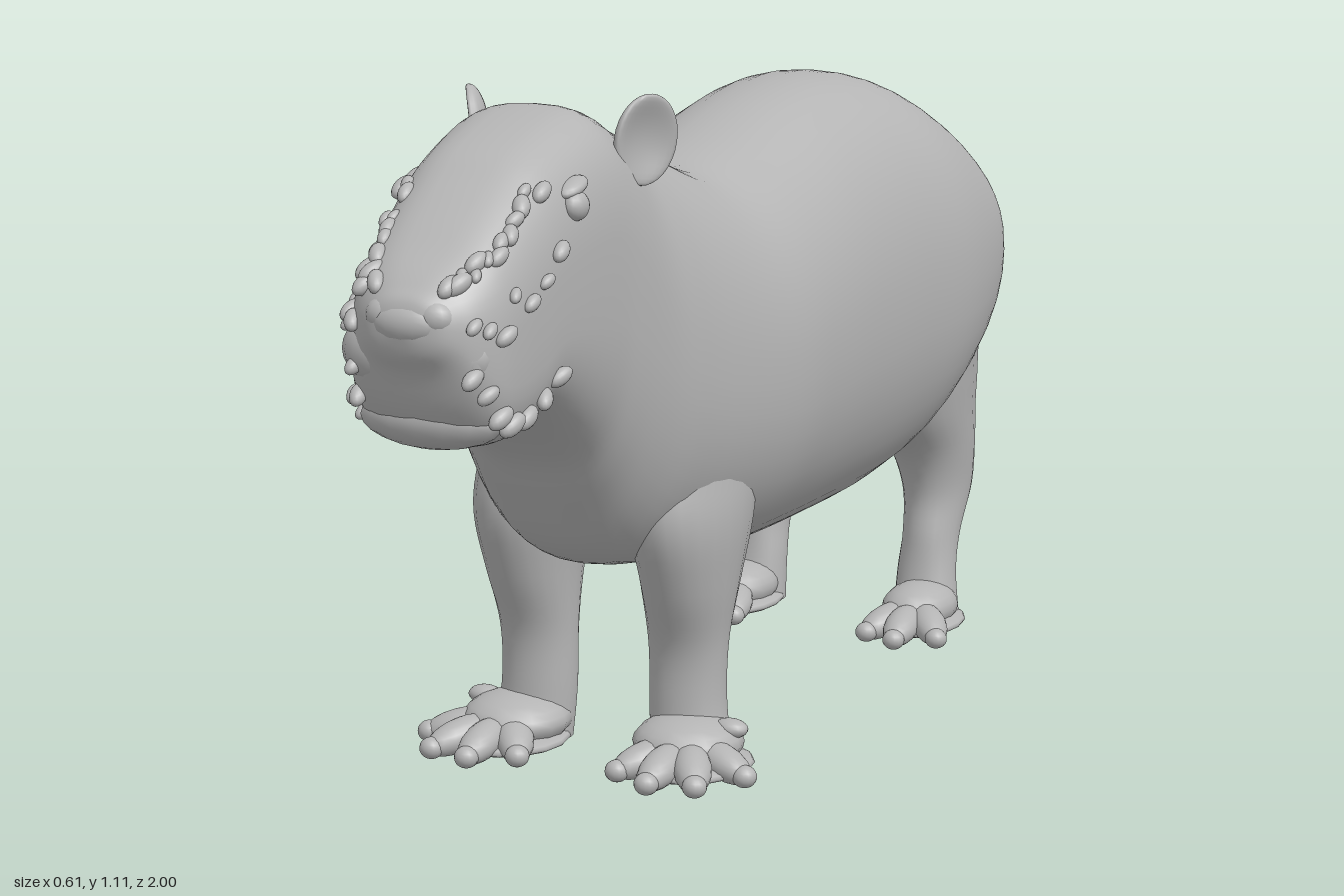
import * as THREE from 'three';

const hide = new THREE.MeshStandardMaterial({ color: 0xb4b4b4 });
hide.name = 'grey hide';

// Smoothly interpolated row of a table at fractional index t
function sample(rows, t) {
  const i = Math.min(Math.floor(t), rows.length - 2), f = t - i;
  const at = k => rows[Math.max(0, Math.min(rows.length - 1, k))];
  const [a, b, c, d] = [at(i - 1), at(i), at(i + 1), at(i + 2)];
  return b.map((v, k) => {
    const m0 = (c[k] - a[k]) / 2, m1 = (d[k] - v) / 2, e = c[k] - v;
    return v + f * (m0 + f * (3 * e - 2 * m0 - m1 + f * (m0 + m1 - 2 * e)));
  });
}

// Closed skin through cross-sections; point(row, angle) gives [x, y, z]
function loft(rows, point, sides, steps) {
  const pos = [], index = [], n = (rows.length - 1) * steps;
  for (let i = 0; i <= n; i++) {
    const row = sample(rows, i / steps);
    for (let j = 0; j < sides; j++) pos.push(...point(row, (j / sides) * Math.PI * 2));
  }
  for (let i = 0; i < n; i++) {
    for (let j = 0; j < sides; j++) {
      const a = i * sides + j, b = i * sides + (j + 1) % sides;
      index.push(a, b, b + sides, a, b + sides, a + sides);
    }
  }
  const g = new THREE.BufferGeometry();
  g.setAttribute('position', new THREE.Float32BufferAttribute(pos, 3));
  g.setIndex(index);
  g.computeVertexNormals();
  return g;
}

// Trunk and head: z, top, widest height, bottom, half width
const trunkRows = [
  [-1.0, .76, .75, .74, .005],
  [-.985, .81, .74, .65, .11],
  [-.93, .865, .72, .53, .218],
  [-.85, .925, .70, .45, .272],
  [-.75, .985, .68, .38, .297],
  [-.62, 1.03, .67, .31, .305],
  [-.47, 1.04, .66, .28, .288],
  [-.3, 1.018, .64, .278, .276],
  [-.1, .97, .62, .285, .273],
  [.08, .95, .61, .30, .27],
  [.3, 1.03, .65, .335, .23],
  [.4, 1.065, .73, .38, .195],
  [.48, 1.09, .81, .475, .175],
  [.55, 1.093, .85, .565, .162],
  [.7, 1.055, .83, .66, .146],
  [.78, 1.015, .80, .645, .139],
  [.85, .972, .78, .643, .133],
  [.9, .938, .78, .66, .124],
  [.94, .912, .80, .705, .104],
  [.965, .892, .82, .765, .08],
  [.985, .872, .83, .795, .05],
  [.995, .835, .832, .83, .004],
];

// Rounded section: squarer along the head, which drifts to its left
function trunkPoint([z, top, mid, bottom, w], a) {
  const n = 2.15 + .85 * THREE.MathUtils.smoothstep(z, .35, .6) - .7 * THREE.MathUtils.smoothstep(z, .88, 1);
  const power = v => Math.sign(v) * Math.pow(Math.abs(v), 2 / n);
  const s = power(Math.sin(a)), cx = Math.max(0, (z - .3) * .09);
  return [cx + w * power(Math.cos(a)), mid + s * (s > 0 ? top - mid : mid - bottom), z];
}

// Legs: y, centre x, centre z, half width, half depth
const frontLegRows = [
  [.015, .145, .22, .07, .055],
  [.1, .135, .213, .065, .055],
  [.2, .135, .212, .066, .06],
  [.3, .14, .215, .075, .1],
  [.4, .14, .21, .086, .145],
  [.48, .133, .195, .088, .16],
  [.58, .115, .18, .085, .15],
  [.7, .09, .15, .04, .06],
];
const backLegRows = [
  [.015, .175, -.735, .062, .055],
  [.1, .17, -.747, .055, .048],
  [.17, .17, -.768, .052, .06],
  [.25, .168, -.8, .06, .085],
  [.33, .163, -.785, .073, .107],
  [.41, .155, -.745, .088, .16],
  [.48, .15, -.72, .1, .195],
  [.57, .145, -.7, .112, .195],
  [.7, .13, -.68, .11, .17],
  [.85, .1, -.68, .05, .08],
];

export function createModel() {
  const root = new THREE.Group();
  root.name = 'rodent';

  const add = (parent, name, geometry) => {
    const m = new THREE.Mesh(geometry, hide);
    m.name = name;
    parent.add(m);
    return m;
  };
  const blob = (parent, name, p, size, yaw = 0, pitch = 0) => {
    const m = add(parent, name, new THREE.SphereGeometry(1, 16, 12));
    m.position.set(...p);
    m.scale.set(...size);
    m.rotation.set(pitch, yaw, 0, 'YXZ');
  };
  const group = name => {
    const g = new THREE.Group();
    g.name = name;
    root.add(g);
    return g;
  };

  add(root, 'trunkAndHead', loft(trunkRows, trunkPoint, 48, 5));
  blob(root, 'tail', [0, .69, -.968], [.035, .04, .024]);

  for (const s of [1, -1]) {
    const side = s > 0 ? 'left' : 'right';
    const legPoint = ([y, cx, cz, rx, rz], a) => [s * cx + rx * Math.cos(a), y, cz - rz * Math.sin(a)];

    // Toes fanned about (x, z), each pitched down to a claw
    const toes = (foot, x, z, angles, reaches) => angles.forEach((a, i) => {
      const at = r => [s * (x + r * Math.sin(a)), z + r * Math.cos(a)];
      const p = at(reaches[i] - .02), u = at(reaches[i] + .035);
      blob(foot, 'toe', [p[0], .038, p[1]], [.031, .027, .066], s * a, .22);
      blob(foot, 'claw', [u[0], .026, u[1]], [.02, .018, .02], s * a);
    });

    // Front leg with a splayed four-toed foot
    const front = group(side + 'FrontLeg');
    add(front, 'leg', loft(frontLegRows, legPoint, 24, 5));
    blob(front, 'foot', [s * .155, .05, .255], [.09, .045, .092]);
    blob(front, 'sole', [s * .165, .022, .275], [.105, .018, .112]);
    toes(front, .16, .265, [-.55, 0, .5, 1.15], [.1, .12, .12, .1]);
    blob(front, 'dewClaw', [s * .222, .075, .24], [.03, .016, .022]);

    // Hind leg with a long three-toed foot
    const back = group(side + 'BackLeg');
    add(back, 'leg', loft(backLegRows, legPoint, 24, 5));
    blob(back, 'foot', [s * .18, .048, -.69], [.066, .045, .092]);
    blob(back, 'sole', [s * .182, .022, -.68], [.08, .018, .115]);
    toes(back, .18, -.68, [-.35, .1, .6], [.105, .125, .11]);

    // Rounded ear, hollowed on its outer front face
    const ear = new THREE.SphereGeometry(1, 24, 16), p = ear.attributes.position;
    for (let i = 0; i < p.count; i++) {
      const r = Math.hypot(p.getY(i), p.getZ(i));
      if (p.getX(i) > 0) p.setX(i, p.getX(i) - 1.3 * Math.max(0, 1 - r * r));
    }
    ear.rotateY(s > 0 ? 0 : Math.PI);
    ear.computeVertexNormals();
    const e = add(root, side + 'Ear', ear);
    e.position.set(.03 + s * .147, 1.042, .452);
    e.scale.set(.026, .07, .056);
    e.rotation.set(-.12, -s * .5, -s * .15);

    // Eye with brow, nostril and upper lip
    blob(root, side + 'Eye', [.036 + s * .136, .972, .672], [.018, .022, .026]);
    blob(root, side + 'Brow', [.036 + s * .126, .998, .665], [.02, .012, .034], 0, .3);
    blob(root, side + 'Nostril', [.062 + s * .04, .85, .963], [.03, .026, .026]);
    blob(root, side + 'Lip', [.05 + s * .06, .79, .92], [.06, .05, .045]);
  }

  // Nose pad and chin
  blob(root, 'nose', [.062, .84, .968], [.058, .032, .031]);
  blob(root, 'chin', [.05, .69, .885], [.115, .045, .052]);

  // Rough, half-sunk nodules edging the bridge and cheeks of the muzzle
  let seed = 7;
  const random = () => (seed = (seed * 16807) % 2147483647) / 2147483647;
  const muzzle = group('muzzleNodules');
  for (let i = 0; i < 13; i++) {
    const row = sample(trunkRows, 14.4 + i * .33);
    for (const angle of [.95, .3, -.45]) {
      if (angle < .9 && i % 2) continue;
      for (const s of [1, -1]) {
        const a = Math.PI / 2 + s * (Math.PI / 2 - angle - (random() - .5) * .3);
        const [x, y, z] = trunkPoint(row, a), size = .008 + random() * .006;
        blob(muzzle, 'nodule', [x - s * .004, y - .003, z], [size, size, size * 1.8], random() - .5, .5);
      }
    }
  }
  return root;
}
